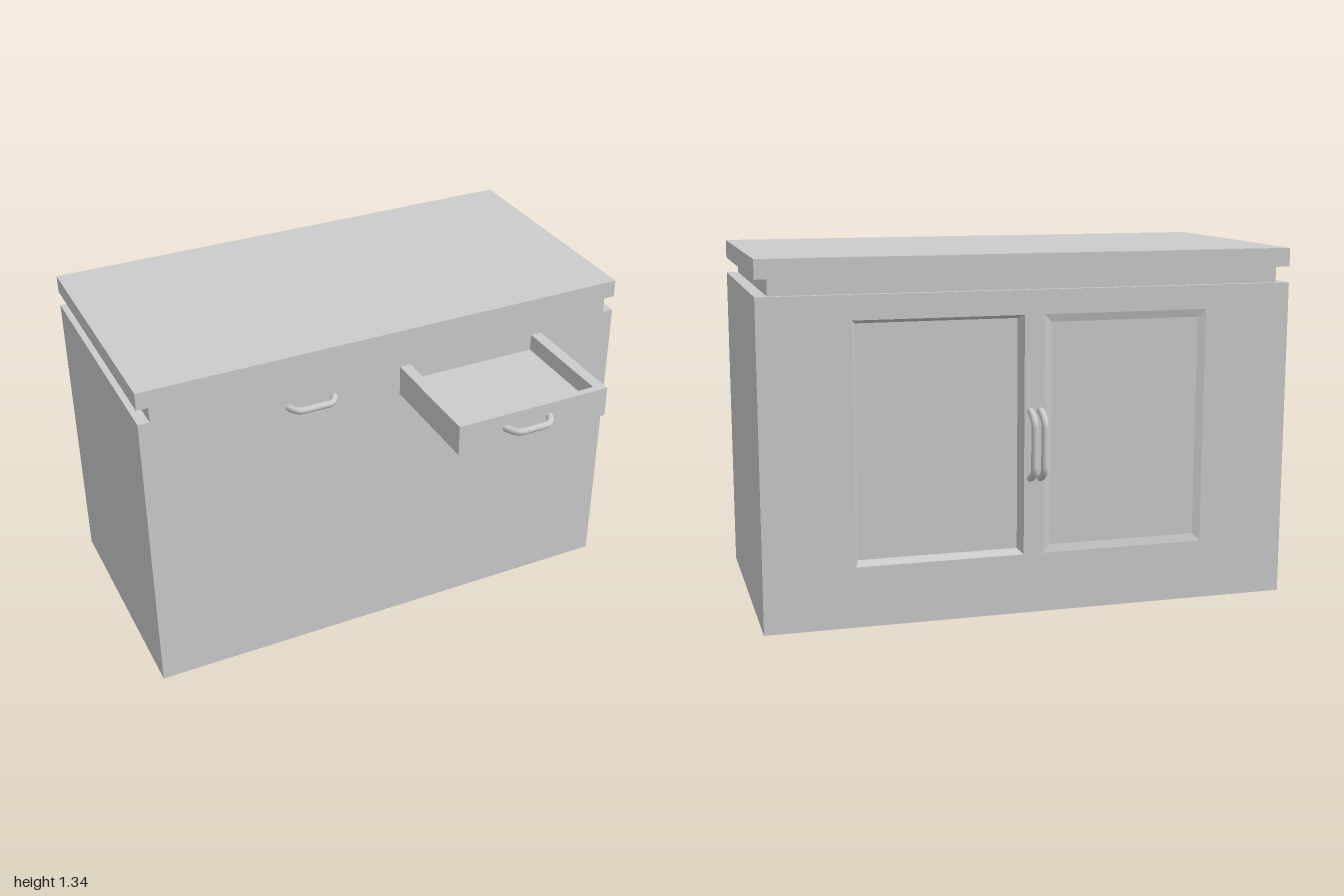
import * as THREE from 'three';

const material = new THREE.MeshStandardMaterial({ color: 0xcccccc });
const FRONT = 0.27, BACK = -0.73, SLAB = 0.05;

// Box given by its minimum and maximum corners
function box(parent, name, [x0, y0, z0], [x1, y1, z1]) {
  const mesh = new THREE.Mesh(new THREE.BoxGeometry(x1 - x0, y1 - y0, z1 - z0), material);
  mesh.position.set((x0 + x1) / 2, (y0 + y1) / 2, (z0 + z1) / 2);
  mesh.name = name;
  parent.add(mesh);
  return mesh;
}

// Rounded bar handle lying along x and standing out along +z
function handle(name, length, reach) {
  const r = 0.0135, c = reach - r, h = length / 2 - r, k = Math.min(c, 0.05);
  const v = (x, z) => new THREE.Vector3(x, 0, z);
  const path = new THREE.CurvePath();
  path.add(new THREE.LineCurve3(v(-h, -0.01), v(-h, c - k)));
  path.add(new THREE.QuadraticBezierCurve3(v(-h, c - k), v(-h + k * 0.4, c), v(-h + k, c)));
  path.add(new THREE.LineCurve3(v(-h + k, c), v(h - k, c)));
  path.add(new THREE.QuadraticBezierCurve3(v(h - k, c), v(h - k * 0.4, c), v(h, c - k)));
  path.add(new THREE.LineCurve3(v(h, c - k), v(h, -0.01)));
  const mesh = new THREE.Mesh(new THREE.TubeGeometry(path, 48, r, 12), material);
  mesh.name = name;
  return mesh;
}

// Rectangle corners, counter-clockwise seen from +z
const rect = (x0, y0, x1, y1) => [[x0, y0], [x1, y0], [x1, y1], [x0, y1]];

// Sunken door panel: four sloping sides and a flat centre, facing -z
function doorPanel(name, x0, y0, x1, y1, inset, depth) {
  const outer = rect(x0, y0, x1, y1).map(([x, y]) => [x, y, BACK]);
  const inner = rect(x0 + inset, y0 + inset, x1 - inset, y1 - inset).map(([x, y]) => [x, y, BACK + depth]);
  const positions = [];
  const quad = (a, b, c, d) => positions.push(...a, ...b, ...c, ...a, ...c, ...d);
  for (let i = 0; i < 4; i++) {
    const j = (i + 1) % 4;
    quad(outer[i], inner[i], inner[j], outer[j]);
  }
  quad(inner[0], inner[3], inner[2], inner[1]);
  const geometry = new THREE.BufferGeometry();
  geometry.setAttribute('position', new THREE.Float32BufferAttribute(positions, 3));
  geometry.computeVertexNormals();
  const mesh = new THREE.Mesh(geometry, material);
  mesh.name = name;
  return mesh;
}

export function createModel() {
  const group = new THREE.Group();
  group.name = 'cabinet';

  // Cabinet body, recessed neck and worktop
  box(group, 'body', [-1, 0, BACK + SLAB], [1, 1.205, FRONT]);
  box(group, 'neck', [-0.955, 1.205, -0.71], [0.955, 1.265, FRONT]);
  box(group, 'worktop', [-1, 1.265, BACK], [1, 1.335, FRONT]);

  // Back wall with two door openings
  const doors = [
    { name: 'leftDoor', x0: 0.038, x1: 0.665, inset: 0.015, depth: 0.04 },
    { name: 'rightDoor', x0: -0.665, x1: -0.038, inset: 0.029, depth: 0.008 },
  ];
  const y0 = 0.225, y1 = 1.115;
  const toPoints = (corners) => corners.map(([x, y]) => new THREE.Vector2(x, y));
  const wall = new THREE.Shape(toPoints(rect(-1, 0, 1, 1.205)));
  for (const d of doors) {
    wall.holes.push(new THREE.Path(toPoints(rect(d.x0, y0, d.x1, y1))));
    group.add(doorPanel(d.name, d.x0, y0, d.x1, y1, d.inset, d.depth));
  }
  const backWall = new THREE.Mesh(
    new THREE.ExtrudeGeometry(wall, { depth: SLAB, bevelEnabled: false }), material);
  backWall.position.z = BACK;
  backWall.name = 'backWall';
  group.add(backWall);

  // Upright door handles side by side
  for (const [name, x] of [['leftDoorHandle', 0.015], ['rightDoorHandle', -0.023]]) {
    const h = handle(name, 0.275, 0.07);
    h.rotation.set(0, Math.PI, Math.PI / 2);
    h.position.set(x, 0.638, BACK);
    group.add(h);
  }

  // Pulled-out drawer: floor, sides and front
  const drawer = new THREE.Group();
  drawer.name = 'openDrawer';
  group.add(drawer);
  box(drawer, 'drawerFloor', [0.085, 1.06, FRONT], [0.62, 1.113, 0.71]);
  box(drawer, 'drawerRightSide', [0.04, 1.06, FRONT], [0.085, 1.18, 0.71]);
  box(drawer, 'drawerLeftSide', [0.62, 1.06, FRONT], [0.665, 1.18, 0.71]);
  box(drawer, 'drawerFront', [0.04, 1.06, 0.71], [0.665, 1.18, 0.738]);

  // Drawer handles, one on the open drawer and one on the closed one
  const openHandle = handle('openDrawerHandle', 0.213, 0.06);
  openHandle.position.set(0.325, 1.123, 0.738);
  drawer.add(openHandle);
  const closedHandle = handle('closedDrawerHandle', 0.213, 0.055);
  closedHandle.position.set(-0.33, 1.123, FRONT);
  group.add(closedHandle);

  return group;
}
